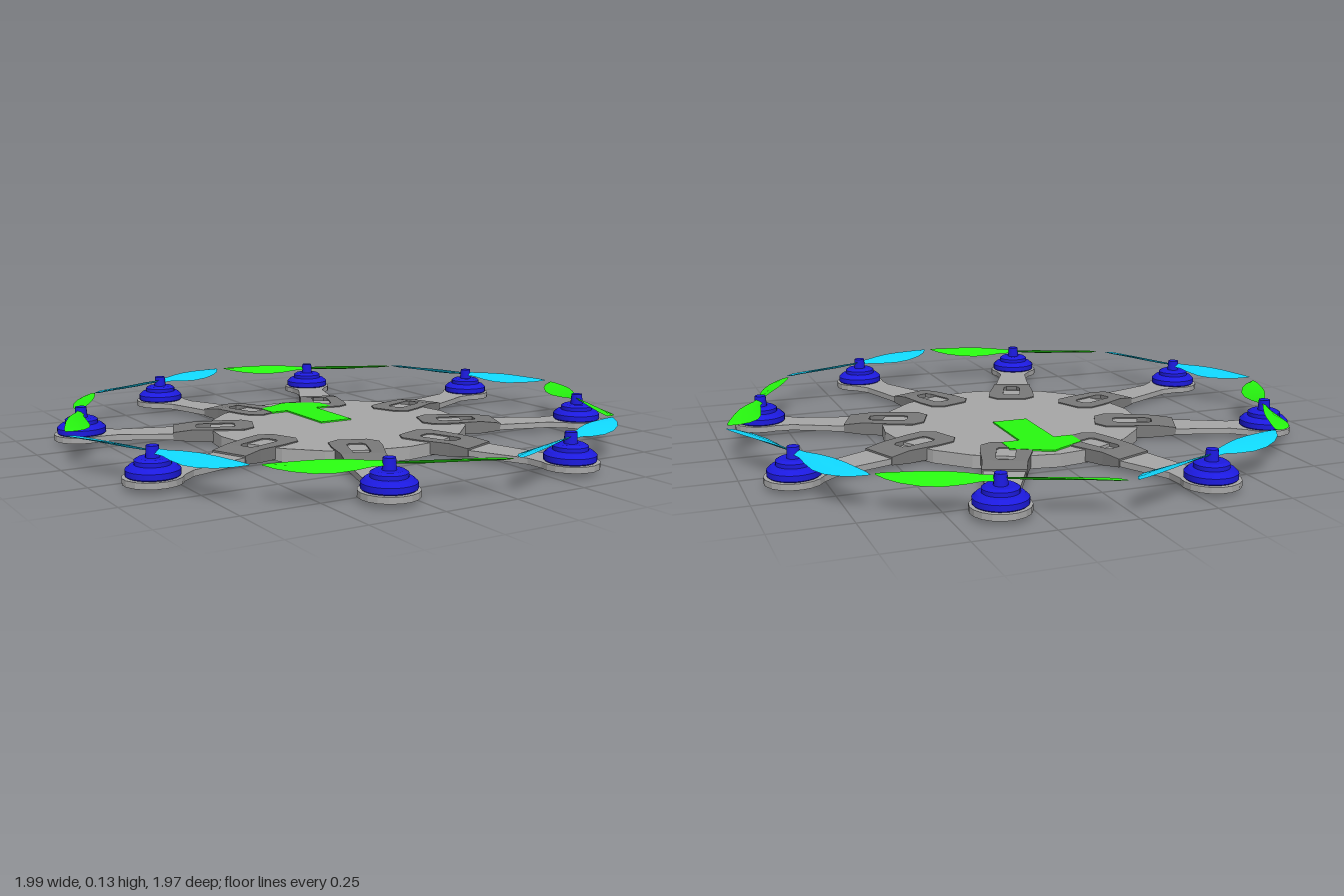
import * as THREE from 'three';
import { toCreasedNormals } from 'three/addons/utils/BufferGeometryUtils.js';

const mat = (color) => new THREE.MeshStandardMaterial({ color });
const grey = mat(0xa8a8a8), dark = mat(0x7a7a7a), blue = mat(0x1c1ae0);
const green = mat(0x28fb10), cyan = mat(0x10d8ff);

function part(name, geometry, material) {
  const mesh = new THREE.Mesh(geometry, material);
  mesh.name = name;
  return mesh;
}

// Flat plate: shape x stays x, shape y becomes z, spanning bottom..top in height
function plate(shape, bottom, top) {
  const g = new THREE.ExtrudeGeometry(shape, { depth: top - bottom, bevelEnabled: false, curveSegments: 10 });
  return g.rotateX(Math.PI / 2).translate(0, top, 0);
}

// Shape from its right-hand outline, mirrored across x = 0
function mirrored(half) {
  const left = half.map(([x, y]) => [-x, y]).reverse();
  return new THREE.Shape([...half, ...left].map(([x, y]) => new THREE.Vector2(x, y)));
}

// Tapering arm with a rounded motor pad at radius r
function armGeometry(r) {
  const half = [[0.07, 0.32], [0.068, 0.56], [0.05, r - 0.12]];
  for (let i = 0; i <= 6; i++) {
    const a = THREE.MathUtils.degToRad(-42 + i * 20);
    half.push([0.092 * Math.cos(a), r + 0.094 * Math.sin(a)]);
  }
  return plate(mirrored(half), 0.014, 0.034);
}

// Slotted clamp whose outer end slopes down to the arm
function clampGeometry() {
  const shape = mirrored([[0.05, 0.3], [0.085, 0.335], [0.085, 0.4], [0.072, 0.51], [0.07, 0.58]]);
  const hole = new THREE.Path();
  const outline = [[-0.022, 0.365], [-0.032, 0.38], [-0.03, 0.485], [-0.02, 0.5],
    [0.02, 0.5], [0.03, 0.485], [0.032, 0.38], [0.022, 0.365]];
  hole.setFromPoints(outline.map(([x, y]) => new THREE.Vector2(x, y)));
  shape.holes.push(hole);
  const g = plate(shape, 0.026, 0.048);
  const p = g.attributes.position;
  for (let i = 0; i < p.count; i++) if (p.getZ(i) > 0.56 && p.getY(i) > 0.04) p.setY(i, 0.04);
  g.computeVertexNormals();
  return g;
}

// Twisted blade along +x, lofted from four-sided sections
function bladeGeometry(dir) {
  // x, half chord, sweep, pitch
  const stations = [
    [0.0, 0.012, 0, 0.5], [0.05, 0.014, 0, 0.5], [0.1, 0.026, -0.003, 0.42], [0.16, 0.037, -0.006, 0.34],
    [0.22, 0.039, -0.006, 0.28], [0.28, 0.032, -0.001, 0.22], [0.325, 0.02, 0.009, 0.18], [0.355, 0.004, 0.02, 0.16],
  ];
  const pos = [], index = [];
  for (const [x, c, sweep, pitch] of stations) {
    const t = 0.004 * Math.min(1, c / 0.02);
    for (const [u, v] of [[c, 0], [0, t], [-c, 0], [0, -t]]) {
      const z = dir * sweep + u, a = dir * pitch;
      pos.push(x, z * Math.sin(a) + v * Math.cos(a), z * Math.cos(a) - v * Math.sin(a));
    }
  }
  const last = (stations.length - 1) * 4;
  for (let s = 0; s < last; s += 4) {
    for (let k = 0; k < 4; k++) {
      const a = s + k, b = s + (k + 1) % 4;
      index.push(a, a + 4, b, b, a + 4, b + 4);
    }
  }
  index.push(0, 1, 2, 0, 2, 3, last, last + 2, last + 1, last, last + 3, last + 2);
  const g = new THREE.BufferGeometry();
  g.setAttribute('position', new THREE.Float32BufferAttribute(pos, 3));
  g.setIndex(index);
  g.computeVertexNormals();
  return toCreasedNormals(g, 0.7);
}

function motorGeometry() {
  const profile = [[0, 0.03], [0.074, 0.03], [0.083, 0.038], [0.083, 0.056], [0.07, 0.068],
    [0.056, 0.07], [0.056, 0.083], [0.045, 0.09], [0, 0.09]];
  return toCreasedNormals(new THREE.LatheGeometry(profile.map(([x, y]) => new THREE.Vector2(x, y)), 24), 0.5);
}

export function createModel() {
  const model = new THREE.Group();
  model.name = 'octocopter';
  const cx = 0.015, cz = -0.015;

  // Central body disc
  const body = part('bodyDisc', toCreasedNormals(new THREE.CylinderGeometry(0.455, 0.455, 0.044, 20), 0.2), grey);
  body.position.set(cx, 0.022, cz);
  model.add(body);

  // Heading arrow on the deck
  const arrow = mirrored([[0.062, -0.037], [0.062, -0.29], [0.126, -0.29], [0.126, -0.372], [0.002, -0.44]]);
  const arrowMesh = part('headingArrow', plate(arrow, 0.042, 0.049), green);
  arrowMesh.position.x = 0.024;
  model.add(arrowMesh);

  // Arms, clamps, motors and propellers, alternating in colour and spin
  const motors = [[0.353, -0.83], [0.845, -0.358], [0.834, 0.326], [0.353, 0.824],
    [-0.32, 0.824], [-0.829, 0.337], [-0.807, -0.363], [-0.32, -0.835]];
  const clamp = clampGeometry(), motor = motorGeometry();
  const hub = new THREE.CylinderGeometry(0.019, 0.022, 0.038, 16);
  const blades = [bladeGeometry(1), bladeGeometry(-1)];

  motors.forEach(([x, z], i) => {
    const dx = x - cx, dz = z - cz, r = Math.hypot(dx, dz);
    const arm = new THREE.Group();
    arm.name = 'armAssembly' + (i + 1);
    arm.position.set(cx, 0, cz);
    arm.rotation.y = Math.atan2(dx, dz);
    arm.add(part('arm', armGeometry(r), grey));

    const upper = part('upperClamp', clamp, dark);
    const lower = part('lowerClamp', clamp, dark);
    lower.rotation.z = Math.PI;
    lower.position.y = 0.053;
    arm.add(upper, lower);

    const rotor = new THREE.Group();
    rotor.name = 'rotor';
    rotor.position.z = r;
    rotor.add(part('motor', motor, blue));
    const hubMesh = part('propellerHub', hub, blue);
    hubMesh.position.y = 0.107;
    rotor.add(hubMesh);
    for (let k = 0; k < 2; k++) {
      // the high edge of the blade swaps sides with the spin direction
      const blade = part('propellerBlade', blades[i % 2], i % 2 ? cyan : green);
      blade.rotation.y = k * Math.PI;
      blade.position.y = 0.109;
      rotor.add(blade);
    }
    arm.add(rotor);
    model.add(arm);
  });
  return model;
}
